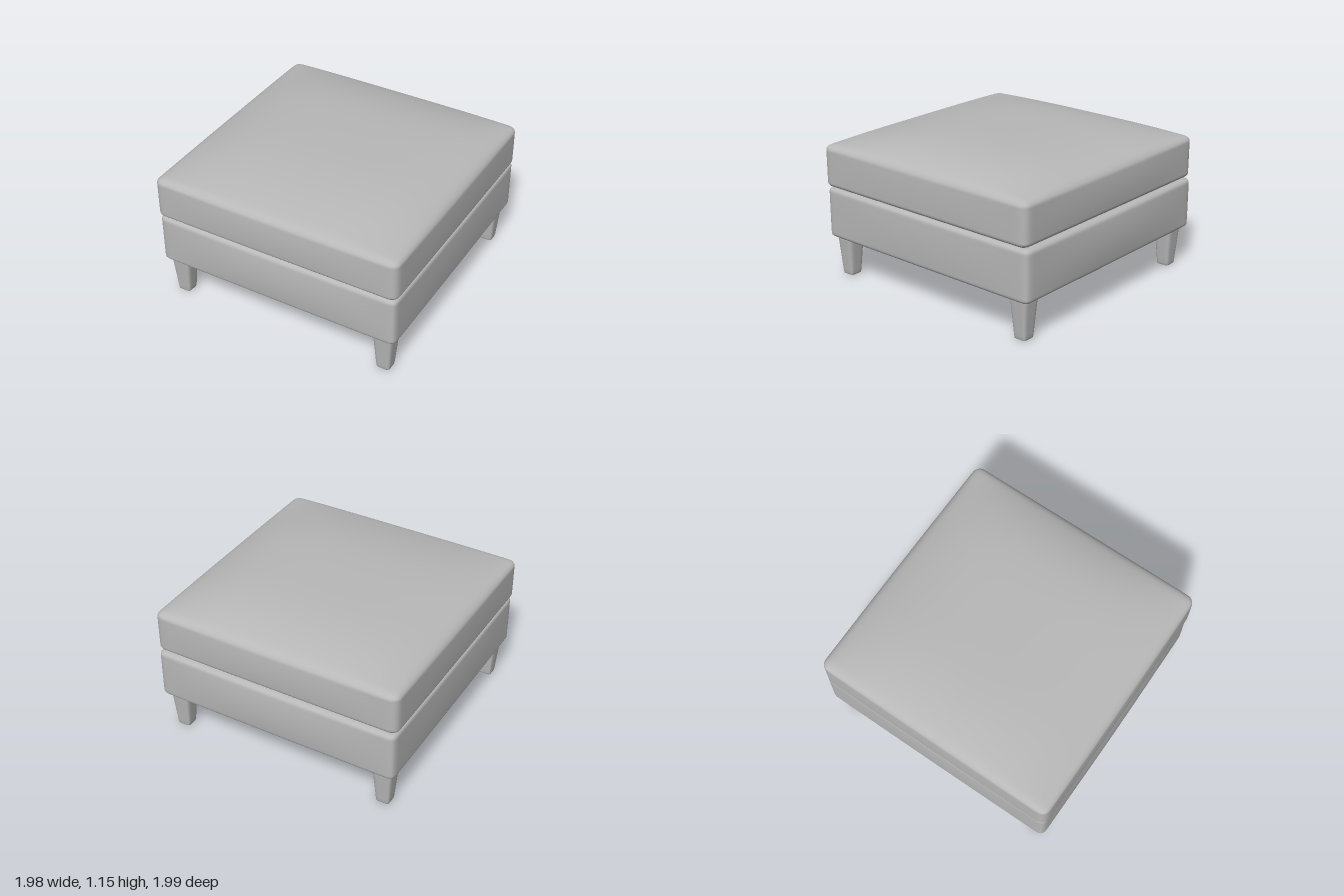
import * as THREE from 'three';
import { mergeVertices } from 'three/addons/utils/BufferGeometryUtils.js';

// Smooth box with edges rounded by rXZ sideways and rY vertically; grid lines gather at the edges.
// deform(p, u, v, w) may then move each point, with u, v, w in -1..1 along x, y, z.
function softBox(w, h, d, rXZ, rY, segments, deform) {
  const box = new THREE.BoxGeometry(2, 2, 2, segments, segments, segments);
  box.deleteAttribute('uv');
  box.deleteAttribute('normal');
  const geometry = mergeVertices(box);
  const half = new THREE.Vector3(w / 2, h / 2, d / 2);
  const radius = new THREE.Vector3(rXZ, rY, rXZ);
  const limit = half.clone().sub(radius);
  const pos = geometry.attributes.position;
  const p = new THREE.Vector3(), inner = new THREE.Vector3();
  for (let i = 0; i < pos.count; i++) {
    p.fromBufferAttribute(pos, i);
    p.set(...p.toArray().map((t) => Math.sin(t * Math.PI / 2))).multiply(half);
    inner.copy(p).clamp(limit.clone().negate(), limit);
    p.sub(inner).divide(radius).normalize().multiply(radius).add(inner);
    deform(p, p.x / half.x, p.y / half.y, p.z / half.z);
    pos.setXYZ(i, p.x, p.y, p.z);
  }
  geometry.computeVertexNormals();
  return geometry;
}

// Slight outward swelling of the upholstered sides
function swell(p, u, v, w, amount) {
  p.x *= 1 + amount * 0.5 * (1 - v * v) * (1 - w * w);
  p.z *= 1 + amount * (1 - v * v) * (1 - u * u);
}

export function createModel() {
  const group = new THREE.Group();
  const upholstery = new THREE.MeshStandardMaterial({ color: 0xb8b8b8 });
  upholstery.name = 'plain grey';

  const add = (name, geometry, x, y, z) => {
    const mesh = new THREE.Mesh(geometry, upholstery);
    mesh.name = name;
    mesh.position.set(x, y, z);
    group.add(mesh);
  };

  // Upholstered base
  add('base', softBox(1.95, 0.4, 1.95, 0.05, 0.035, 32,
    (p, u, v, w) => swell(p, u, v, w, 0.018)), 0, 0.505, 0);

  // Seat cushion with a crowned top, fuller toward the left and the back
  add('cushion', softBox(1.97, 0.33, 1.95, 0.065, 0.04, 40, (p, u, v, w) => {
    swell(p, u, v, w, 0.012);
    if (v > 0) {
      const across = (1 - u ** 4) * (1 + 0.1 * u);
      const along = 1 - Math.abs(w) ** (w > 0 ? 2.5 : 3.5);
      p.y += 0.108 * across * along;
    }
  }), 0, 0.87, 0.01);

  // Four tapered legs
  const leg = softBox(0.16, 0.33, 0.155, 0.035, 0.012, 12, (p, u, v) => {
    const taper = 0.66 + 0.34 * (v + 1) / 2;
    p.x *= taper;
    p.z *= taper;
  });
  for (const [side, x] of [['Left', 0.857], ['Right', -0.857]]) {
    add('front' + side + 'Leg', leg, x, 0.165, 0.862);
    add('back' + side + 'Leg', leg, x, 0.165, -0.852);
  }
  return group;
}
